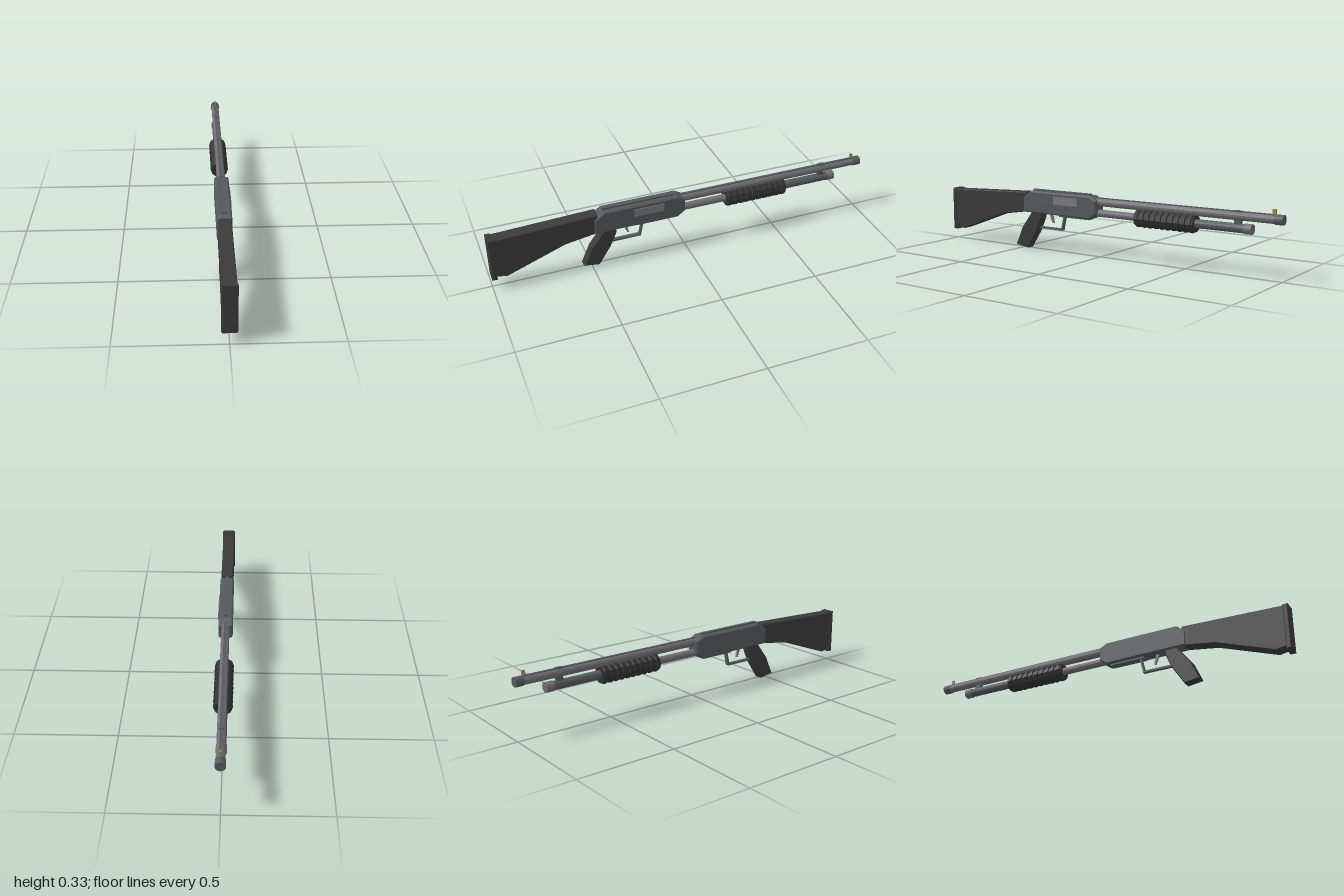
import * as THREE from 'three';

const mat = (name, color) => {
  const m = new THREE.MeshStandardMaterial({ color, flatShading: true });
  m.name = name;
  return m;
};

export function createModel() {
  const group = new THREE.Group();
  const polymer = mat('black polymer', 0x3a3a3a);
  const ribbed = mat('pump black', 0x303030);
  const steel = mat('blued steel', 0x53595d);
  const bright = mat('barrel steel', 0x6f6d71);
  const portGrey = mat('bolt grey', 0x7a7b7e);
  const brass = mat('brass', 0xa08c50);

  const add = (name, geometry, material, x = 0, y = 0, z = 0) => {
    const m = new THREE.Mesh(geometry, material);
    m.name = name;
    m.position.set(x, y, z);
    group.add(m);
    return m;
  };

  // Side outline given as [z, y], extruded across x with chamfered edges
  const slab = (name, points, halfWidth, bevel, material) => {
    const shape = new THREE.Shape(points.map(([z, y]) => new THREE.Vector2(-z, y)));
    const g = new THREE.ExtrudeGeometry(shape, {
      depth: 2 * (halfWidth - bevel), bevelEnabled: bevel > 0, bevelSize: bevel,
      bevelThickness: bevel, bevelOffset: -bevel, bevelSegments: 1,
    });
    g.translate(0, 0, bevel - halfWidth);
    g.rotateY(Math.PI / 2);
    return add(name, g, material);
  };

  // Box from its limits in y and z, centred on x
  const block = (name, halfWidth, y0, y1, z0, z1, material, x = 0) =>
    add(name, new THREE.BoxGeometry(2 * halfWidth, y1 - y0, z1 - z0), material,
      x, (y0 + y1) / 2, (z0 + z1) / 2);

  // Round bar along z
  const tube = (name, r, y, z0, z1, material, sides = 14) => {
    const g = new THREE.CylinderGeometry(r, r, z1 - z0, sides);
    g.rotateX(Math.PI / 2);
    return add(name, g, material, 0, y, (z0 + z1) / 2);
  };

  // Receiver
  slab('receiver', [[0.005, 0.225], [0.005, 0.295], [0.045, 0.316], [0.43, 0.316],
    [0.482, 0.28], [0.482, 0.2], [0.045, 0.197]], 0.036, 0.007, steel);
  block('receiverRib', 0.01, 0.312, 0.324, 0.06, 0.43, steel);
  block('ejectionPort', 0.004, 0.256, 0.297, 0.12, 0.275, portGrey, 0.036);
  block('loadingPlate', 0.02, 0.19, 0.2, 0.06, 0.25, steel);

  // Shoulder stock and butt pad
  slab('stock', [[0.46, 0.307], [0.985, 0.287], [0.985, 0.078], [0.925, 0.066],
    [0.63, 0.175], [0.46, 0.202]], 0.032, 0.004, polymer);
  slab('buttPad', [[0.973, 0.292], [1, 0.292], [1, 0.059], [0.973, 0.059]], 0.036, 0.005, polymer);

  // Pistol grip
  slab('grip', [[0.43, 0.205], [0.365, 0.205], [0.367, 0.175], [0.4, 0.1], [0.463, 0.003],
    [0.543, 0.015], [0.5, 0.112]], 0.025, 0.005, polymer);

  // Trigger and guard
  slab('guardPost', [[0.22, 0.197], [0.229, 0.197], [0.246, 0.118], [0.237, 0.118]], 0.01, 0, steel);
  block('guardBar', 0.01, 0.116, 0.125, 0.237, 0.4, steel);
  slab('trigger', [[0.325, 0.2], [0.31, 0.2], [0.302, 0.17], [0.298, 0.15],
    [0.306, 0.15], [0.315, 0.172]], 0.006, 0, portGrey);

  // Barrel, top rib, muzzle ring and front sight
  tube('barrel', 0.021, 0.286, -0.99, 0.02, bright);
  block('barrelRib', 0.007, 0.298, 0.309, -0.96, 0.02, steel);
  tube('muzzleRing', 0.024, 0.286, -1, -0.96, steel);
  block('frontSight', 0.004, 0.3, 0.333, -0.961, -0.944, brass);

  // Magazine tube, cap and barrel clamp
  tube('actionTube', 0.019, 0.229, -0.3, 0.02, bright);
  tube('magazineTube', 0.022, 0.229, -0.82, -0.5, steel);
  tube('magazineCap', 0.025, 0.229, -0.848, -0.81, bright);
  block('barrelClamp', 0.01, 0.235, 0.311, -0.79, -0.757, steel);

  // Pump handle: ten-sided ridged grip
  const profile = [new THREE.Vector2(0, -0.555), new THREE.Vector2(0.041, -0.555)];
  const ridges = 10, pitch = 0.33 / ridges;
  for (let i = 0; i < ridges; i++) {
    const z = -0.555 + i * pitch;
    [[0.2, 0.041], [0.3, 0.046], [0.75, 0.046], [0.85, 0.041]].forEach(([t, r]) =>
      profile.push(new THREE.Vector2(r, z + t * pitch)));
  }
  profile.push(new THREE.Vector2(0.041, -0.225), new THREE.Vector2(0, -0.225));
  const pump = new THREE.LatheGeometry(profile, 10, Math.PI / 2);
  pump.rotateX(Math.PI / 2);
  add('pumpHandle', pump, ribbed, 0, 0.227, 0);

  return group;
}
